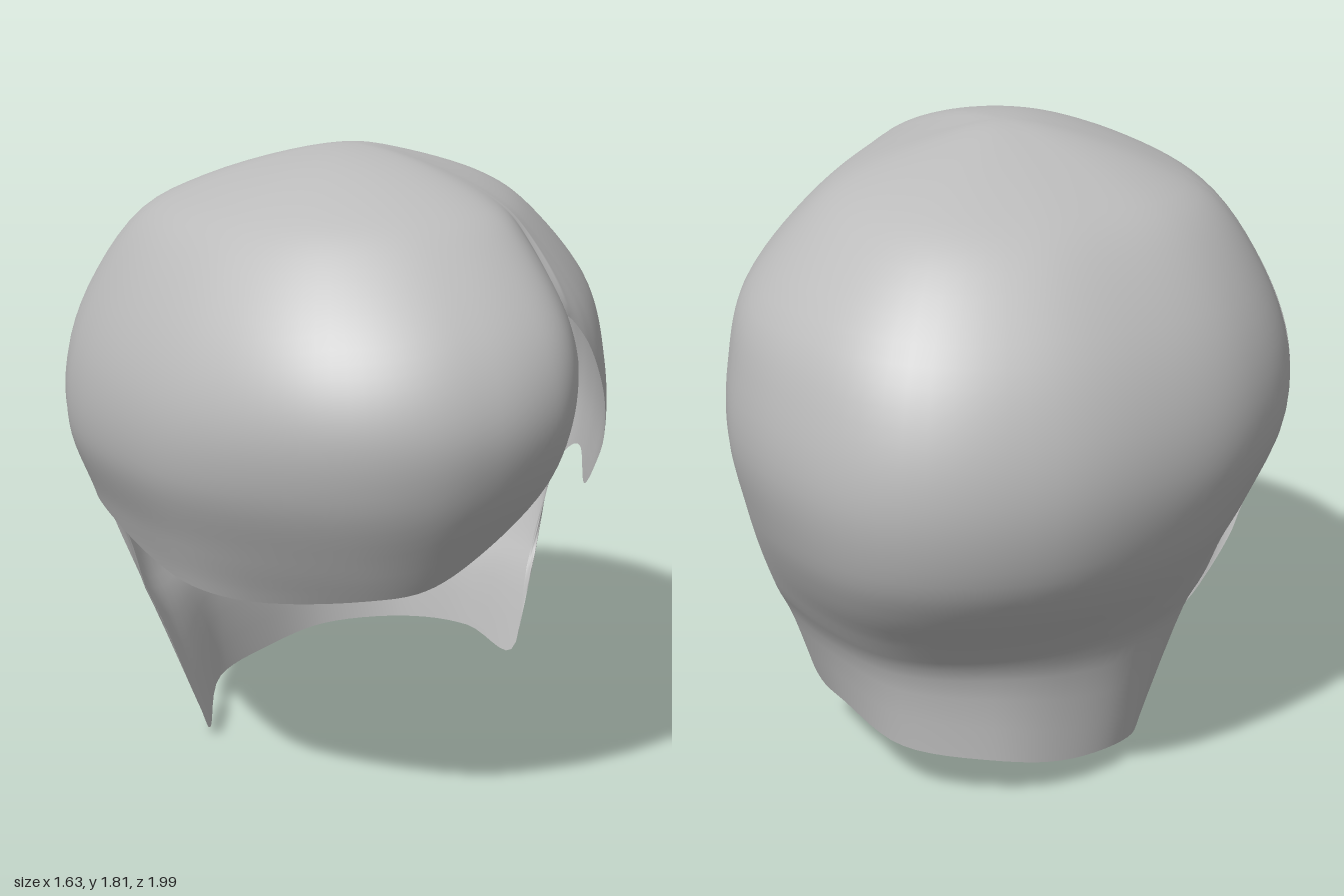
import * as THREE from 'three';
import { mergeVertices } from 'three/addons/utils/BufferGeometryUtils.js';

// Outline radius seen from above, every 22.5 degrees from the front (+z) towards +x
const PLAN = [1, 0.97, 0.79, 0.735, 0.77, 0.865, 0.955, 1.03, 0.98, 0.91, 0.885, 0.855, 0.81, 0.82, 0.88, 0.965];

// Heights from crown to nape and the relative swell of each side at those heights
const HEIGHT = [1.81, 1.78, 1.7, 1.6, 1.4, 1.2, 1, 0.8, 0.65, 0.5, 0.35, 0];
const FRONT = [0, 0.3, 0.57, 0.73, 0.92, 1, 0.97, 0.87, 0.78, 0.7, 0.65, 0.6];
const LEFT = [0, 0.22, 0.53, 0.72, 0.93, 0.99, 1, 0.95, 0.91, 0.86, 0.79, 0.66];
const BACK = [0, 0.2, 0.48, 0.68, 0.87, 0.97, 1, 0.96, 0.87, 0.74, 0.66, 0.66];
const RIGHT = [0, 0.24, 0.53, 0.74, 0.9, 0.98, 0.97, 0.86, 0.78, 0.73, 0.65, 0.5];

// Open lower edge: parting, fringe, right ear, nape, left ear, back to the parting
const HEM = [
  [0.42, 1.4, 0.62], [0.41, 1.3, 0.73], [0.36, 1.15, 0.82], [0.28, 1, 0.85], [0.1, 0.82, 0.84],
  [-0.05, 0.73, 0.83], [-0.2, 0.7, 0.78], [-0.45, 0.65, 0.55], [-0.58, 0.66, 0.4], [-0.66, 0.7, 0.22],
  [-0.73, 0.77, 0], [-0.74, 0.79, -0.13], [-0.7, 0.75, -0.21], [-0.65, 0.63, -0.25], [-0.57, 0.42, -0.18],
  [-0.5, 0.22, -0.05], [-0.45, 0.1, -0.08], [-0.4, 0, -0.18], [-0.3, 0.06, -0.45], [-0.1, 0.09, -0.6],
  [0.1, 0.13, -0.65], [0.35, 0.155, -0.58], [0.5, 0.185, -0.35], [0.57, 0.17, -0.13], [0.64, 0.42, -0.19],
  [0.72, 0.63, -0.25], [0.75, 0.77, -0.2], [0.76, 0.83, -0.12], [0.75, 0.84, -0.04], [0.7, 0.77, 0.11],
  [0.68, 0.88, 0.25], [0.64, 1, 0.39], [0.59, 1.15, 0.49], [0.51, 1.31, 0.56],
];

function cubic(a, b, c, d, t) {
  return b + 0.5 * t * (c - a + t * (2 * a - 5 * b + 4 * c - d + t * (3 * (b - c) + d - a)));
}

// Smooth lookup in a profile; the mirrored first knot rounds off the crown
function along(list, s, mirror) {
  const i = Math.min(Math.floor(s), list.length - 2);
  const before = i > 0 ? list[i - 1] : mirror * list[1];
  return cubic(before, list[i], list[i + 1], list[Math.min(i + 2, list.length - 1)], s - i);
}

function planRadius(az) {
  const n = PLAN.length;
  const s = (((az / (2 * Math.PI)) % 1) + 1) % 1 * n;
  const i = Math.floor(s);
  const at = (k) => PLAN[(k + n) % n];
  return cubic(at(i - 1), at(i), at(i + 1), at(i + 2), s - i);
}

// Radius of the hair at an azimuth and profile position, with a groove at the parting
function hairRadius(az, s) {
  const c = Math.cos(az), d = Math.sin(az);
  const swell = c * c * along(c > 0 ? FRONT : BACK, s, -1) + d * d * along(d > 0 ? LEFT : RIGHT, s, -1);
  const groove = 0.05 * Math.exp(-(((az - 0.66) / 0.16) ** 2) - (((s - 3.8) / 1.2) ** 2));
  return planRadius(az) * swell * (1 - groove);
}

// Profile position of a given height
function positionOf(y) {
  let i = 0;
  while (i < HEIGHT.length - 2 && HEIGHT[i + 1] > y) i++;
  return i + (HEIGHT[i] - y) / (HEIGHT[i] - HEIGHT[i + 1]);
}

function hairGeometry(columns, rows) {
  const curve = new THREE.CatmullRomCurve3(HEM.map((p) => new THREE.Vector3(...p)), true);
  const hem = Array.from({ length: columns }, (_, i) => curve.getPoint(i / columns));

  // Unwrapped azimuths of the hem, and a smoothed set used near the crown
  const az = [];
  hem.forEach((p, i) => {
    let a = Math.atan2(p.x, p.z);
    if (i) a -= 2 * Math.PI * Math.round((a - az[i - 1]) / (2 * Math.PI));
    az.push(a);
  });
  const azAt = (i) => az[(i + columns) % columns] - 2 * Math.PI * Math.floor(i / columns);
  const reach = Math.round(columns * 0.08);
  const smooth = az.map((_, i) => {
    let sum = 0;
    for (let k = -reach; k <= reach; k++) sum += azAt(i + k);
    return sum / (2 * reach + 1);
  });

  const positions = [], index = [];
  hem.forEach((p, i) => {
    const sEnd = positionOf(p.y);
    const yFix = p.y - along(HEIGHT, sEnd, 1);
    const rFix = Math.hypot(p.x, p.z) / hairRadius(az[i], sEnd) - 1;
    for (let j = 0; j <= rows; j++) {
      const t = j / rows;
      const s = sEnd * t;
      const a = THREE.MathUtils.lerp(smooth[i], az[i], t ** 3);
      const r = hairRadius(a, s) * (1 + rFix * t ** 4);
      positions.push(r * Math.sin(a), along(HEIGHT, s, 1) + yFix * t ** 4, r * Math.cos(a));
      if (j < rows) {
        const m = i * (rows + 1) + j;
        const n = ((i + 1) % columns) * (rows + 1) + j;
        if (j) index.push(m, n, n + 1);
        index.push(m, n + 1, m + 1);
      }
    }
  });
  let geometry = new THREE.BufferGeometry();
  geometry.setAttribute('position', new THREE.Float32BufferAttribute(positions, 3));
  geometry.setIndex(index);
  geometry = mergeVertices(geometry, 1e-5);
  geometry.computeVertexNormals();
  return geometry;
}

export function createModel() {
  const group = new THREE.Group();
  group.name = 'hairpiece';
  const material = new THREE.MeshStandardMaterial({ color: 0xbcbcbc, side: THREE.DoubleSide });
  material.name = 'light grey';

  // One open shell: crown, swept fringe, sides and nape
  const hair = new THREE.Mesh(hairGeometry(204, 44), material);
  hair.name = 'hairShell';
  group.add(hair);
  return group;
}
